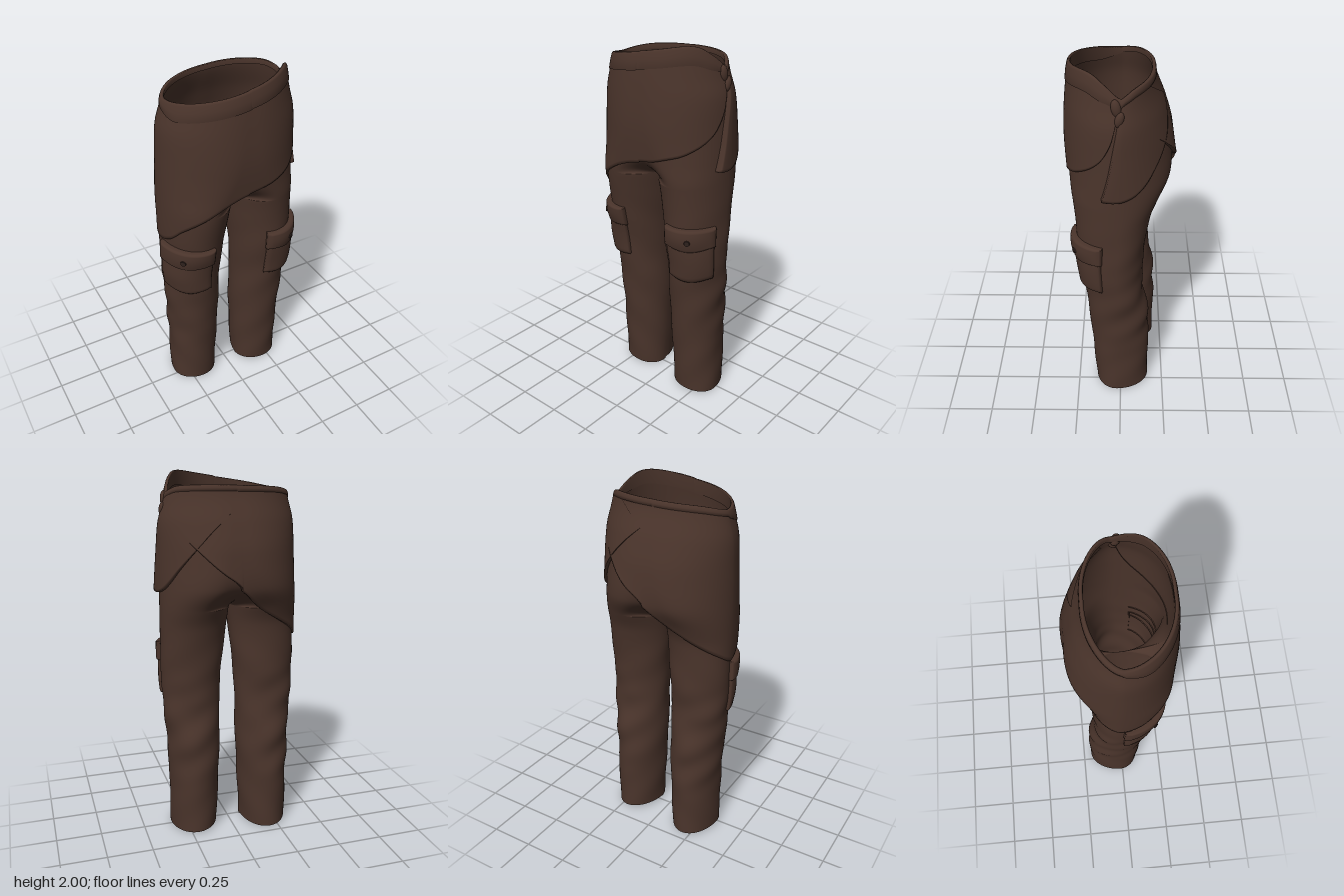
import * as THREE from 'three';
import { mergeGeometries, mergeVertices } from 'three/addons/utils/BufferGeometryUtils.js';

const cloth = new THREE.MeshStandardMaterial({ color: 0x4a342b, side: THREE.DoubleSide });
const dark = new THREE.MeshStandardMaterial({ color: 0x2e211d });
const { lerp, smoothstep: smooth } = THREE.MathUtils;

// smooth curve through [key, value] pairs
function curve(t) {
  const slope = i => {
    const a = t[Math.max(0, i - 1)], b = t[Math.min(t.length - 1, i + 1)];
    return (b[1] - a[1]) / (b[0] - a[0]);
  };
  return x => {
    if (x <= t[0][0]) return t[0][1];
    if (x >= t[t.length - 1][0]) return t[t.length - 1][1];
    let i = 0;
    while (x > t[i + 1][0]) i++;
    const h = t[i + 1][0] - t[i][0], s = (x - t[i][0]) / h, r = 1 - s;
    return r * r * (1 + 2 * s) * t[i][1] + s * s * (3 - 2 * s) * t[i + 1][1]
      + h * s * r * (r * slope(i) - s * slope(i + 1));
  };
}

// body measurements by height
const outer = curve([[0, .337], [.4, .34], [.6, .352], [.8, .366], [1, .37], [1.2, .371], [1.4, .368], [1.6, .362], [1.75, .354], [1.85, .328], [1.92, .312], [2, .298]]);
const inner = curve([[0, .072], [.4, .053], [.6, .047], [.8, .045], [1, .03], [1.2, .01], [1.3, 0], [1.4, 0]]);
const centre = curve([[0, .205], [1, .2], [1.3, .18], [1.42, .115], [1.55, .06], [1.8, .03], [2, .025]]);
const front = curve([[0, .122], [.4, .148], [.8, .183], [1, .21], [1.2, .236], [1.4, .262], [1.6, .277], [1.8, .267], [2, .24]]);
const back = curve([[0, .18], [.4, .18], [.6, .165], [.75, .14], [1, .145], [1.2, .16], [1.3, .195], [1.42, .253], [1.6, .253], [1.75, .214], [1.9, .158], [2, .15]]);
// heights around the waist: 0 front middle, .5 left, 1 back middle, 1.5 right, 2 front middle
const waist = curve([[0, 1.96], [.125, 1.98], [.26, 1.997], [.34, 1.99], [.42, 1.95], [.5, 1.9], [.57, 1.912], [.65, 1.93], [.8, 1.937], [1, 1.935], [1.25, 1.922], [1.5, 1.893], [1.65, 1.907], [1.8, 1.93], [2, 1.96]]);

// point on the cloth at loop position k and height y, moved outward by off;
// bridge = true spans straight over the gap between the legs
function point(k, y, off = 0, bridge = false, half = 0) {
  k = half ? k : ((k % 2) + 2) % 2;
  const side = half || (k <= 1 ? 1 : -1);
  const q = side > 0 ? k : 2 - k;
  const sign = q < .5 ? 1 : -1;
  const cx = centre(y), wide = outer(y) - cx;
  // share of the loop that lies on the inner quarter
  const share = .5 * cx / (cx + 1.2 * wide), e = Math.min(q, 1 - q);
  const a = sign * Math.PI / 2 * (e < share ? 2 - e / share : (.5 - e) / (.5 - share));
  const ca = Math.cos(a), sa = Math.sin(a);
  const dip = bridge ? 0 : (y <= 1.3 ? 1 : Math.exp((1.3 - y) / .042));
  const rx = ca > 0 ? wide : cx - Math.max(0, inner(y));
  const rz = sign > 0 ? front(y) : back(y);
  const saddle = lerp(Math.pow(1 - (1 + ca) ** 2, 2), 1 - Math.abs(sa), dip);
  // the seat tapers towards the sides
  const taper = sign < 0 ? 1 + .22 * smooth(y, 1.25, 1.45) : 1;
  const s = sign * (ca > 0 ? Math.pow(Math.abs(sa), taper) : 1 - dip * saddle);
  // folds around the knee and calf, strongest at the back
  const fold = smooth(y, .2, .5) * (1 - smooth(y, .75, 1)) * (ca < 0 ? 1 + ca : 1);
  const d = off + fold * (.55 - .45 * sa) * (.005 * Math.sin(y * 31 + side * a * 2.2) + .003 * Math.sin(y * 17 - a * 3 + side))
    + .002 * Math.sin(y * 21 + a * 3) * (1 - smooth(y, 1, 1.25));
  let nx = ca * (ca > 0 ? 1 : dip) / rx, nz = s / rz;
  const n = Math.hypot(nx, nz) || 1;
  nx /= n; nz /= n;
  const shift = side * .02 * (1 - smooth(y, .9, 1.3));
  return new THREE.Vector3(side * (cx + rx * ca + nx * d), y, rz * s + nz * d + shift);
}

// grid surface from f(u, v); us and vs are lists of steps
function sheet(us, vs, f) {
  const pos = [], idx = [], w = us.length;
  vs.forEach(v => us.forEach(u => pos.push(...f(u, v).toArray())));
  for (let j = 0; j < vs.length - 1; j++) for (let i = 0; i < w - 1; i++) {
    const p = j * w + i;
    idx.push(p, p + 1, p + w + 1, p, p + w + 1, p + w);
  }
  const g = new THREE.BufferGeometry();
  g.setAttribute('position', new THREE.Float32BufferAttribute(pos, 3));
  g.setIndex(idx);
  g.computeVertexNormals();
  return g;
}
const steps = (n, a = 0, b = 1) => Array.from({ length: n + 1 }, (_, i) => lerp(a, b, i / n));

export function createModel() {
  const model = new THREE.Group();
  const add = (name, geo, mat = cloth, parent = model) => {
    const m = new THREE.Mesh(geo, mat);
    m.name = name;
    parent.add(m);
    return m;
  };

  // legs and seat, joined along the middle
  const halves = [1, -1].map(half => {
    const k0 = half > 0 ? 0 : 1;
    const g = sheet(steps(72, k0, k0 + 1), steps(110), (k, v) => {
      const y = v < .6 ? v / .6 * 1.3 : 1.3 + Math.pow((v - .6) / .4, 1.7) * (waist(k) - .01 - 1.3);
      return point(k, y + (v === 0 ? .008 + .008 * Math.sin(k * 9) : 0), 0, false, half);
    });
    g.deleteAttribute('normal');
    return g;
  });
  const body = mergeVertices(mergeGeometries(halves), 1e-4);
  body.computeVertexNormals();
  add('trousers', body);

  // wrapped overskirt with a slanting lower edge
  const wrapEdge = curve([[.75, 1.66], [.8, 1.61], [.89, 1.51], [.95, 1.45], [1, 1.42], [1.05, 1.4], [1.1, 1.365], [1.22, 1.265], [1.4, 1.15], [1.5, 1.1], [1.57, 1.14], [1.63, 1.22], [1.71, 1.29], [1.8, 1.345], [1.9, 1.388], [2, 1.405], [2.1, 1.42], [2.18, 1.45], [2.27, 1.485], [2.39, 1.575], [2.45, 1.68], [2.48, 1.8], [2.495, 1.87]]);
  const edged = [0, .0005, .03, ...steps(24, .07, 1)];
  add('overskirt', sheet(steps(140, .75, 2.495), edged, (k, v) => {
    const flare = .014 * Math.exp(-Math.pow((k - 1) / .25, 2)) * Math.pow(1 - v, 6);
    const y = lerp(wrapEdge(k), waist(k % 2) - .02, v);
    return point(k, y, v === 0 ? -.004 : .011 + flare, true);
  }));

  // side flap on the left, ending in a point at the back
  const flapLow = curve([[.43, 1.385], [.5, 1.38], [.57, 1.4], [.625, 1.44], [.7, 1.52], [.79, 1.62], [.88, 1.72], [.96, 1.8]]);
  const flapTop = k => Math.min(waist(k) - .03, lerp(1.805, 1.9, (.96 - k) / .16));
  add('sideFlap', sheet(steps(56, .43, .96), edged, (k, v) => {
    const kk = k - .01 + .08 * v * (1 - smooth(k, .43, .65));
    const flare = .016 * Math.exp(-Math.pow((k - .43) / .06, 2)) * (1 - v) ** 2;
    const rim = v === 0 || k === .43;
    return point(kk, lerp(flapLow(k), flapTop(kk), v), rim ? 0 : .016 + flare, true);
  }));

  // waistband folded over its top edge, deeper at the front
  const bandProfile = [[0, .006], [0, .016], [.5, .017], [.9, .015], [1, .011], [1.02, .004], [.98, -.003], [.1, -.006]];
  const bandHeight = k => .03 + .055 * smooth(Math.abs(k - 1), .45, .65);
  add('waistband', sheet(steps(140, 0, 2), steps(7, 0, 7), (k, j) => {
    const [f, off] = bandProfile[Math.round(j)];
    return point(k, waist(k) - bandHeight(k) * (1 - f), off, true);
  }));

  // gathered tie where the overskirt closes
  for (const [y, z, r, tilt] of [[1.86, .02, .032, .2], [1.81, .005, .028, -.3]]) {
    const tie = add('gatheredTie', new THREE.SphereGeometry(r, 20, 14));
    tie.scale.set(.6, 1.4, .75);
    tie.rotation.x = tilt;
    tie.position.set(outer(y) + .008, y, z);
  }

  // cargo pockets with buttoned flaps, each following the leg
  for (const [name, side, a0, a1, ab] of [['leftPocket', 1, 107, 24, 66], ['rightPocket', -1, 100, 6, 51]]) {
    const group = new THREE.Group();
    group.name = name;
    model.add(group);
    const toK = a => side > 0 ? (180 - a) / 360 : 2 - (180 - a) / 360;
    const us = [0, .001, .03, ...steps(18, .08, .92), .97, .999, 1];
    const pad = (low, high, depth, grow, sag) => sheet(us, us, (u, v) => {
      const d = Math.min(u, 1 - u, v, 1 - v);
      const a = side > 0 ? lerp(a0 + grow, a1 - grow, u) : lerp(a1 - grow, a0 + grow, u);
      const off = d === 0 ? -.006 : depth * (d < .01 ? .6 : d < .05 ? .85 : 1 + .3 * Math.sin(Math.PI * u) * Math.sin(Math.PI * v));
      const bow = sag * (1 - v) * Math.cos((u - .5) * Math.PI * 2);
      return point(toK(a), lerp(low, high, v) + bow, off);
    });
    add('pocketBag', pad(.775, 1.02, .022, 0, -.008), cloth, group);
    add('pocketFlap', pad(.965, 1.085, .03, 2, -.01), cloth, group);
    const p = point(toK(ab), 1.02, .039), q = point(toK(ab), 1.02, .06);
    const button = add('button', new THREE.CylinderGeometry(.014, .018, .012, 20), dark, group);
    button.position.copy(p);
    button.quaternion.setFromUnitVectors(new THREE.Vector3(0, 1, 0), q.sub(p).normalize());
  }
  return model;
}
